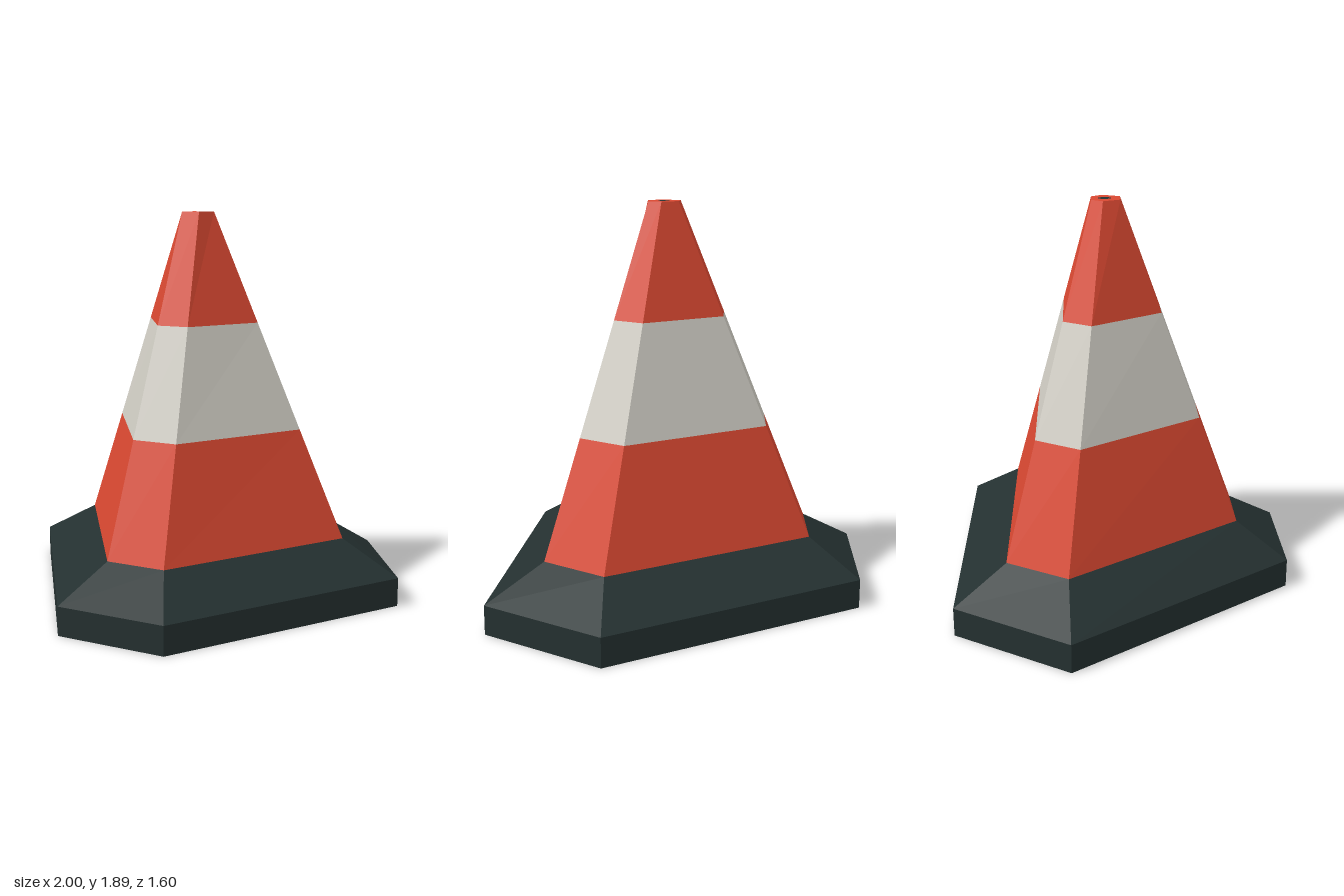
import * as THREE from 'three';

const material = (name, color) => {
  const m = new THREE.MeshStandardMaterial({ color });
  m.name = name;
  return m;
};

// Mirrored hexagon at height y: back, side and front corner as [x, z]
const hexRing = (y, back, side, front) => [
  [-back[0], back[1]], [back[0], back[1]], [side[0], side[1]],
  [front[0], front[1]], [-front[0], front[1]], [-side[0], side[1]],
].map(([x, z]) => new THREE.Vector3(x, y, z));

const pointRing = (y, z) => Array.from({ length: 6 }, () => new THREE.Vector3(0, y, z));

const mixRing = (a, b, t) => a.map((p, i) => p.clone().lerp(b[i], t));

// Flat-faced skin through successive rings, from the bottom up
function loft(name, mat, rings) {
  const pos = [];
  const tri = (a, b, c) => {
    if (a.equals(b) || b.equals(c) || c.equals(a)) return;
    for (const p of [a, b, c]) pos.push(p.x, p.y, p.z);
  };
  for (let r = 0; r < rings.length - 1; r++) {
    const lo = rings[r], hi = rings[r + 1];
    for (let i = 0; i < 6; i++) {
      const j = (i + 1) % 6;
      tri(lo[j], lo[i], hi[i]);
      tri(lo[j], hi[i], hi[j]);
    }
  }
  const geo = new THREE.BufferGeometry();
  geo.setAttribute('position', new THREE.Float32BufferAttribute(pos, 3));
  geo.computeVertexNormals();
  const mesh = new THREE.Mesh(geo, mat);
  mesh.name = name;
  return mesh;
}

export function createModel() {
  const red = material('cone red', 0xd94831);
  const white = material('stripe white', 0xd0cdc4);
  const dark = material('rubber dark', 0x243030);

  const group = new THREE.Group();
  group.name = 'trafficCone';

  const tipZ = -0.085, yFoot = 0.3, yTip = 1.89;
  const baseAt = (y) => hexRing(y, [0.675, -0.8], [1, -0.26], [0.27, 0.8]);
  const foot = hexRing(yFoot, [0.545, -0.56], [0.71, -0.27], [0.147, 0.56]);
  const tip = hexRing(yTip, [0.045, -0.148], [0.085, -0.095], [0.045, -0.013]);
  const hole = hexRing(yTip, [0.014, -0.115], [0.028, -0.087], [0.014, -0.055]);
  const coneAt = (y) => mixRing(foot, tip, (y - yFoot) / (yTip - yFoot));

  // Rubber base with a sloped shoulder
  group.add(loft('base', dark, [pointRing(0, 0), baseAt(0), baseAt(0.14), foot]));

  // Cone body in three bands
  group.add(loft('lowerCone', red, [foot, coneAt(0.84)]));
  group.add(loft('stripe', white, [coneAt(0.84), coneAt(1.36)]));
  group.add(loft('upperCone', red, [coneAt(1.36), tip, hole]));

  // Dark opening at the tip
  group.add(loft('tipHole', dark, [hole, pointRing(yTip, tipZ)]));

  return group;
}
